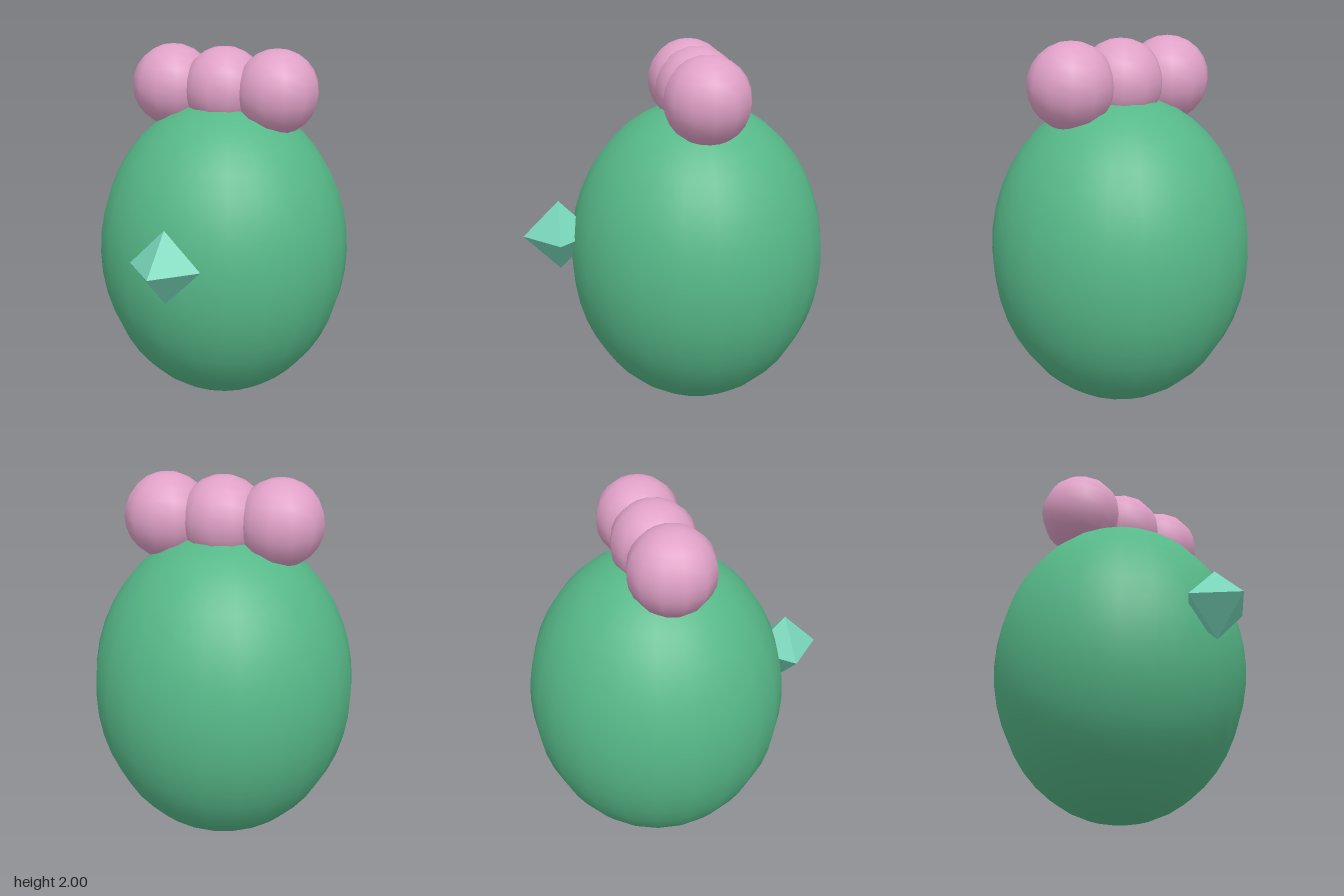
import * as THREE from 'three';

export function createModel() {
  const model = new THREE.Group();
  const material = (name, color) => {
    const m = new THREE.MeshStandardMaterial({ color });
    m.name = name;
    return m;
  };
  const green = material('leaf green', 0x56b888);
  const pink = material('soft pink', 0xe0a1c7);
  const mint = material('mint', 0x78d6ba);

  const add = (name, geometry, mat, x, y, z) => {
    const mesh = new THREE.Mesh(geometry, mat);
    mesh.name = name;
    mesh.position.set(x, y, z);
    model.add(mesh);
    return mesh;
  };

  const axisZ = -0.133;

  // Egg-shaped body
  const body = add('body', new THREE.SphereGeometry(0.705, 22, 22), green, 0, 0.857, axisZ);
  body.scale.y = 0.857 / 0.705;

  // Row of three overlapping balls on the crown
  const ball = new THREE.SphereGeometry(0.229, 12, 12);
  ['rightTuft', 'middleTuft', 'leftTuft'].forEach((name, i) =>
    add(name, ball, pink, (i - 1) * 0.306, 1.771, axisZ));

  // Faceted gem half sunk into the front
  add('nose', new THREE.OctahedronGeometry(0.196), mint, 0, 0.985, 0.632);

  return model;
}
